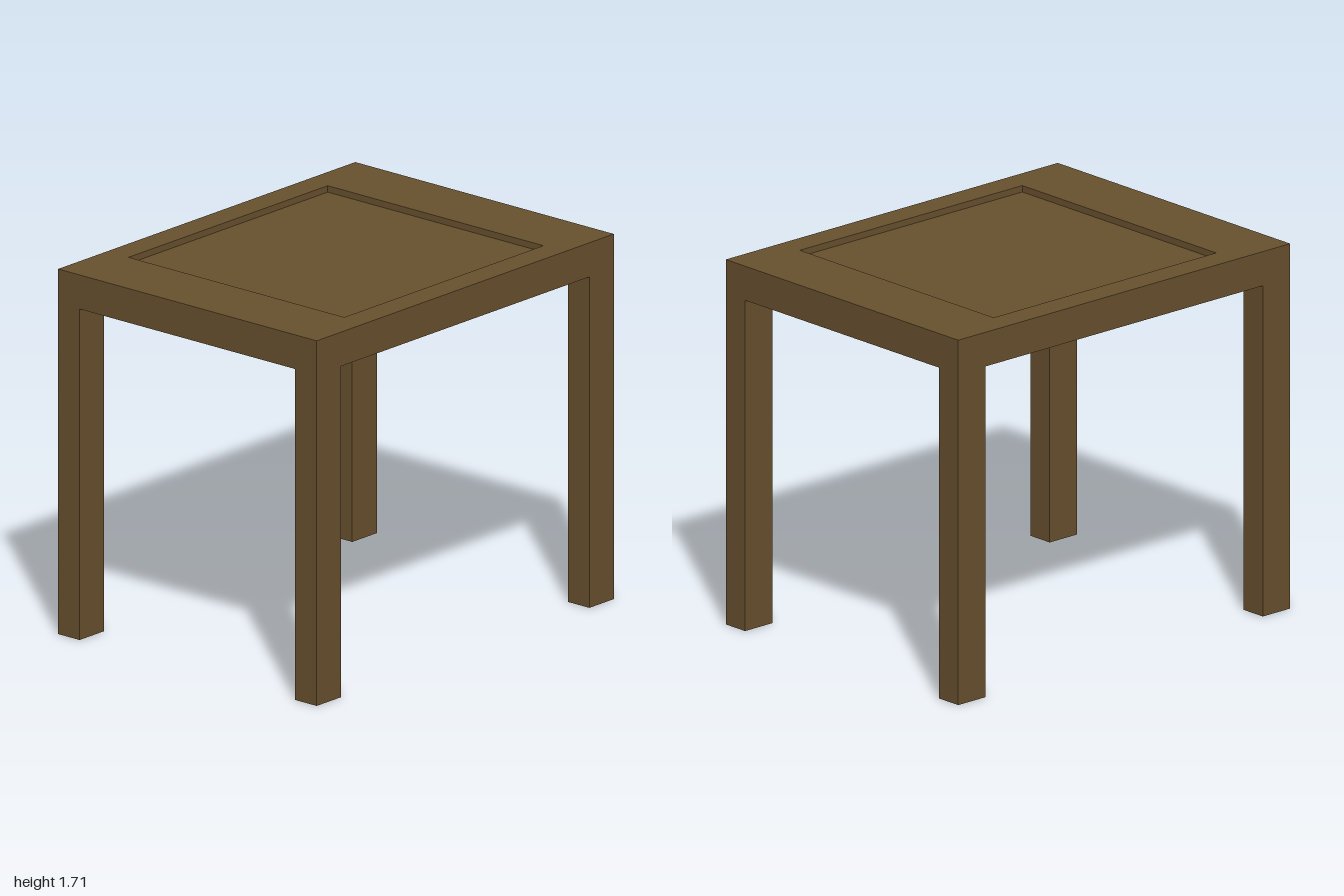
import * as THREE from 'three';

const HALF_X = 0.765, HALF_Z = 1, TOP = 1.71, UNDERSIDE = 1.55;
const LEG_X = 0.127, LEG_Z = 0.165;

// Closed solid from stacked rectangular rings [halfX, y, halfZ], capped at both ends
function rectangularLoft(rings) {
  const corners = [[1, 1], [1, -1], [-1, -1], [-1, 1]];
  const point = (i, j) => {
    const [hx, y, hz] = rings[i];
    const [sx, sz] = corners[j % 4];
    return [sx * hx, y, sz * hz];
  };
  const positions = [];
  const quad = (a, b, c, d) => positions.push(...a, ...b, ...c, ...a, ...c, ...d);
  const last = rings.length - 1;
  for (let i = 0; i < last; i++) {
    for (let j = 0; j < 4; j++) {
      quad(point(i, j), point(i, j + 1), point(i + 1, j + 1), point(i + 1, j));
    }
  }
  quad(point(0, 3), point(0, 2), point(0, 1), point(0, 0));
  quad(point(last, 0), point(last, 1), point(last, 2), point(last, 3));
  const geometry = new THREE.BufferGeometry();
  geometry.setAttribute('position', new THREE.Float32BufferAttribute(positions, 3));
  geometry.computeVertexNormals();
  return geometry;
}

export function createModel() {
  const table = new THREE.Group();
  table.name = 'table';
  const wood = new THREE.MeshStandardMaterial({ color: 0x67502e, flatShading: true });

  // Thick top with a shallow rectangular recess
  const tableTop = new THREE.Mesh(rectangularLoft([
    [HALF_X, UNDERSIDE, HALF_Z],
    [HALF_X, TOP, HALF_Z],
    [0.638, TOP, 0.67],
    [0.638, TOP - 0.03, 0.67],
  ]), wood);
  tableTop.name = 'tableTop';
  table.add(tableTop);

  // Four square-edged legs, flush with the corners
  const legGeometry = new THREE.BoxGeometry(LEG_X, UNDERSIDE, LEG_Z);
  for (const [sx, side] of [[1, 'Left'], [-1, 'Right']]) {
    for (const [sz, end] of [[1, 'front'], [-1, 'back']]) {
      const leg = new THREE.Mesh(legGeometry, wood);
      leg.name = `${end}${side}Leg`;
      leg.position.set(sx * (HALF_X - LEG_X / 2), UNDERSIDE / 2, sz * (HALF_Z - LEG_Z / 2));
      table.add(leg);
    }
  }
  return table;
}
